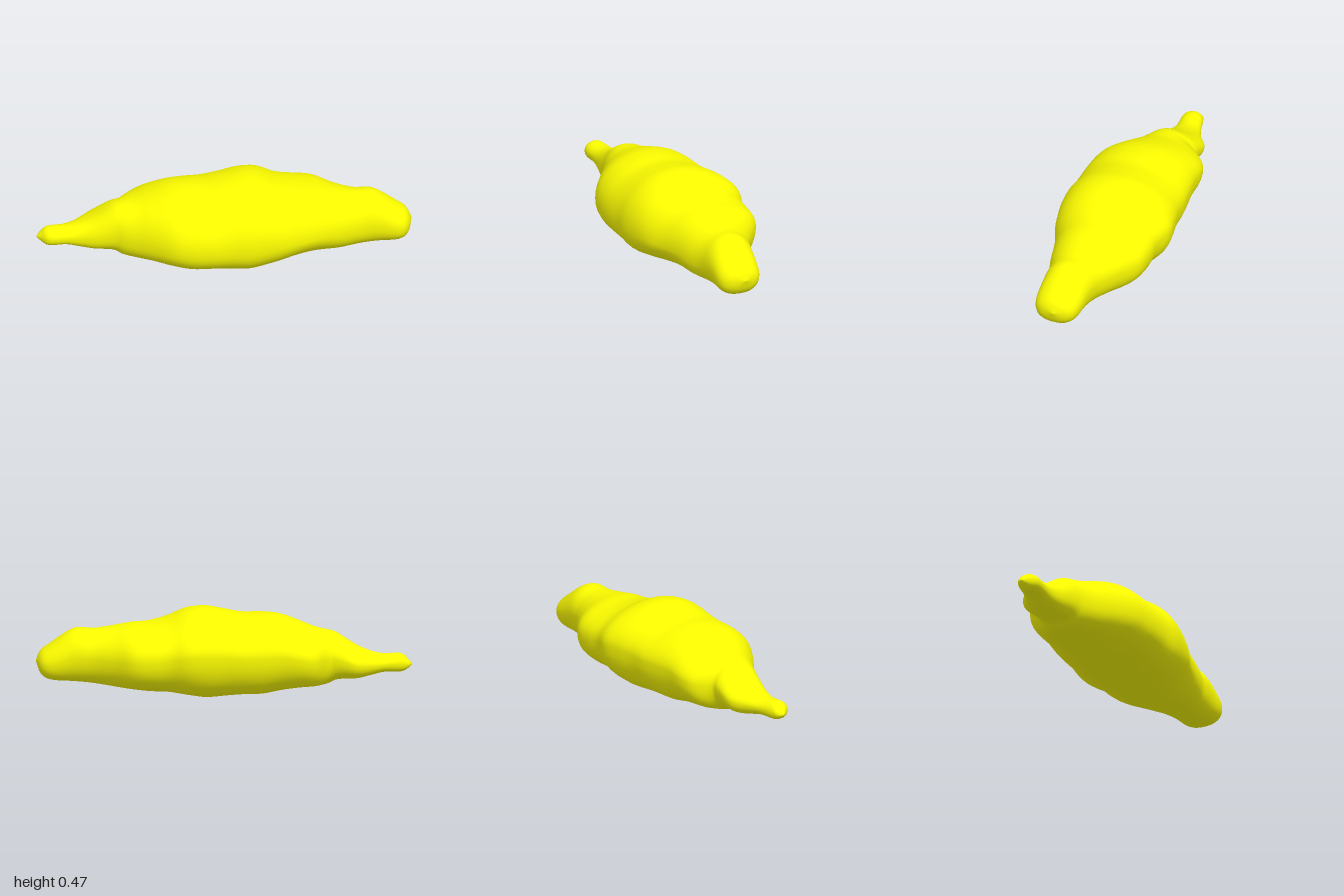
import * as THREE from 'three';

// Body stations along x: [x, bottom, top, back z, front z]
const STATIONS = [
  [-1.0, 0.168, 0.172, -0.052, -0.048],
  [-0.98, 0.15, 0.195, -0.08, -0.02],
  [-0.94, 0.13, 0.226, -0.095, 0.018],
  [-0.85, 0.13, 0.225, -0.115, 0.02],
  [-0.78, 0.115, 0.24, -0.145, 0.03],
  [-0.7, 0.1, 0.275, -0.19, 0.055],
  [-0.6, 0.093, 0.34, -0.188, 0.085],
  [-0.55, 0.07, 0.355, -0.19, 0.115],
  [-0.48, 0.06, 0.37, -0.26, 0.16],
  [-0.4, 0.055, 0.4, -0.285, 0.22],
  [-0.3, 0.04, 0.432, -0.285, 0.285],
  [-0.2, 0.02, 0.442, -0.292, 0.308],
  [-0.1, 0.018, 0.441, -0.3, 0.315],
  [0.0, 0.01, 0.46, -0.302, 0.315],
  [0.1, 0.003, 0.477, -0.318, 0.322],
  [0.2, 0.018, 0.465, -0.327, 0.312],
  [0.3, 0.033, 0.423, -0.292, 0.292],
  [0.4, 0.038, 0.398, -0.286, 0.255],
  [0.5, 0.048, 0.39, -0.265, 0.23],
  [0.6, 0.058, 0.372, -0.185, 0.21],
  [0.7, 0.07, 0.36, -0.12, 0.182],
  [0.8, 0.078, 0.36, -0.09, 0.175],
  [0.92, 0.086, 0.28, -0.066, 0.174],
  [0.975, 0.118, 0.238, -0.03, 0.135],
  [1.0, 0.183, 0.187, 0.045, 0.055],
];
const RINGS = 96, SIDES = 48;

const power = (v, p) => Math.sign(v) * Math.pow(Math.abs(v), p);

// Fullness of a quadrant of the cross-section: below 1 is boxier, above 1 leaner
function fullness(x, front, upper) {
  const neck = Math.exp(-(((x - 0.43) / 0.15) ** 2));
  if (upper) return front ? 0.97 : 1.03 - 0.17 * neck;
  return front ? 0.82 + 0.28 * neck : 0.9;
}

function bodyGeometry() {
  const track = (a, b) => new THREE.CatmullRomCurve3(
    STATIONS.map((s) => new THREE.Vector3(s[0], s[a], s[b])), false, 'catmullrom', 0.5);
  const heights = track(1, 2), widths = track(3, 4);
  const pos = [], index = [];

  for (let i = 0; i <= RINGS; i++) {
    const h = heights.getPoint(i / RINGS), w = widths.getPoint(i / RINGS);
    // The ridge drifts from back to front along the body
    const ridge = 0.05 * h.x;
    // The front bulges low and the back bulges high, strongest mid-body
    const skew = 0.09 * Math.max(0, 1 - h.x * h.x);
    for (let j = 0; j < SIDES; j++) {
      const a = (j / SIDES) * Math.PI * 2;
      const p = fullness(h.x, Math.cos(a) > 0, Math.sin(a) > 0);
      const c = power(Math.cos(a), p), s = power(Math.sin(a), p);
      const mid = h.y + (h.z - h.y) * (0.5 - skew * c);
      const y = mid + s * (s > 0 ? h.z - mid : mid - h.y);
      const z = ridge + c * (c > 0 ? w.z - ridge : ridge - w.y);
      pos.push(h.x, y, z);
      if (i < RINGS) {
        const m = i * SIDES + j, n = i * SIDES + (j + 1) % SIDES;
        index.push(m, m + SIDES, n + SIDES, m, n + SIDES, n);
      }
    }
  }
  // Close both tips
  const last = RINGS * SIDES;
  for (let j = 1; j < SIDES - 1; j++) {
    index.push(0, j, j + 1, last, last + j + 1, last + j);
  }
  const g = new THREE.BufferGeometry();
  g.setAttribute('position', new THREE.Float32BufferAttribute(pos, 3));
  g.setIndex(index);
  g.computeVertexNormals();
  return g;
}

export function createModel() {
  const group = new THREE.Group();
  group.name = 'lumpyPod';
  const body = new THREE.Mesh(bodyGeometry(), new THREE.MeshStandardMaterial({ color: 0xfcfc00 }));
  body.name = 'body';
  group.add(body);
  return group;
}
